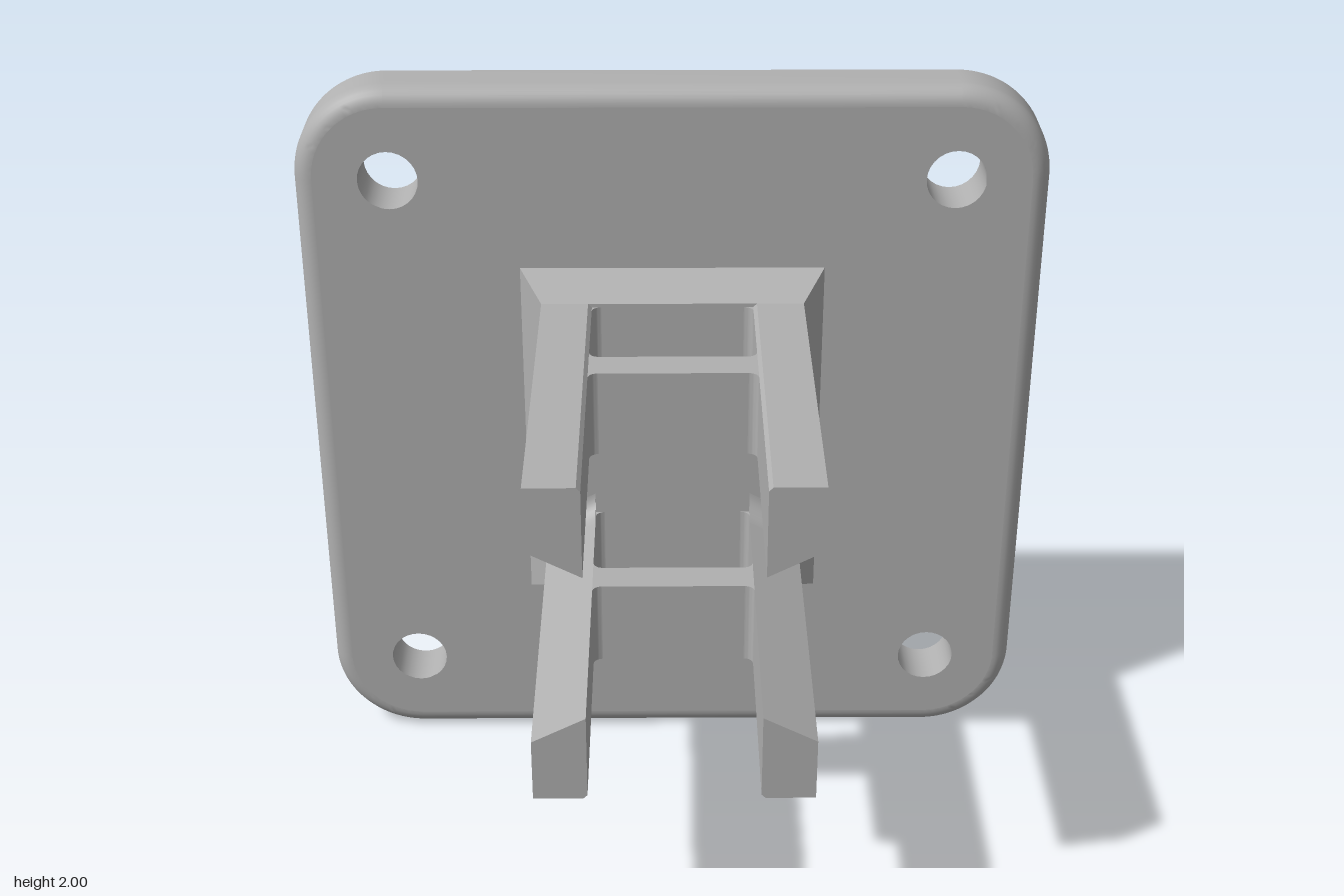
import * as THREE from 'three';
import { toCreasedNormals } from 'three/addons/utils/BufferGeometryUtils.js';

const BACK = -0.625, FACE = -0.475, BASE = -0.375, TIP = 0.625;
const INNER = 0.215, OUTER = 0.35, TOP = 0.44, LOW_IN = 0.2, LOW_OUT = 0.27;

// Mirror a non-indexed geometry in x and y, keeping faces outward
function mirrored(source, sx, sy) {
  const g = source.clone();
  const p = g.attributes.position;
  for (let i = 0; i < p.count; i++) p.setXY(i, p.getX(i) * sx, p.getY(i) * sy);
  if (sx * sy < 0) {
    const a = new THREE.Vector3(), b = new THREE.Vector3();
    for (let i = 0; i < p.count; i += 3) {
      a.fromBufferAttribute(p, i + 1);
      b.fromBufferAttribute(p, i + 2);
      p.setXYZ(i + 1, b.x, b.y, b.z);
      p.setXYZ(i + 2, a.x, a.y, a.z);
    }
  }
  return toCreasedNormals(g, 0.5);
}

// Concave corner filler; sa and sb choose the quadrant
function filletShape(r, sa, sb) {
  const pts = [new THREE.Vector2(0, 0)];
  for (let i = 0; i <= 8; i++) {
    const t = (i / 8) * Math.PI / 2;
    pts.push(new THREE.Vector2(sa * r * (1 - Math.sin(t)), sb * r * (1 - Math.cos(t))));
  }
  return new THREE.Shape(pts);
}

// Rounded plate with bolt holes, a rear pocket and a rounded front rim
function plateGeometry() {
  const R = 0.25, c = 1 - R, rim = 0.05, arcSteps = 7;
  const shape = new THREE.Shape();
  [[1, 1], [-1, 1], [-1, -1], [1, -1]].forEach(([x, y], i) => {
    shape.absarc(x * c, y * c, R, i * Math.PI / 2, (i + 1) * Math.PI / 2, false);
    const hole = new THREE.Path();
    hole.absarc(x * 0.75, y * 0.75, 0.08, 0, Math.PI * 2, true);
    shape.holes.push(hole);
  });
  shape.holes.push(new THREE.Path([[-0.41, -0.5], [-0.41, 0.5], [0.41, 0.5], [0.41, -0.5]]
    .map(([x, y]) => new THREE.Vector2(x, y))));
  const steps = arcSteps + 1;
  let g = new THREE.ExtrudeGeometry(shape, { depth: 1, steps, bevelEnabled: false, curveSegments: 14 });
  const capCount = g.groups[0].count;
  const p = g.attributes.position;
  for (let i = 0; i < p.count; i++) {
    const layer = Math.round(p.getZ(i) * steps);
    const t = Math.max(0, layer - 1) / arcSteps * Math.PI / 2;
    const z = layer === 0 ? BACK : FACE - rim + rim * Math.sin(t);
    let x = p.getX(i), y = p.getY(i);
    // inset only the outer outline, along its normal
    const dx = Math.max(0, Math.abs(x) - c), dy = Math.max(0, Math.abs(y) - c);
    const d = Math.hypot(dx, dy);
    if (d > R - 0.005) {
      const k = rim * (1 - Math.cos(t)) / d;
      x -= Math.sign(x) * dx * k;
      y -= Math.sign(y) * dy * k;
    }
    p.setXYZ(i, x, y, z);
  }
  g = toCreasedNormals(g, 0.5);
  // caps stay perfectly flat
  for (let i = 0; i < capCount; i++) g.attributes.normal.setXYZ(i, 0, 0, p.getZ(i) < -0.6 ? -1 : 1);
  return g;
}

// Flared block: a four-sided frustum from the plate to the prongs
function flareGeometry() {
  const g = new THREE.BoxGeometry(2, 2, 1);
  const p = g.attributes.position;
  for (let i = 0; i < p.count; i++) {
    const front = p.getZ(i) > 0;
    p.setXYZ(i, p.getX(i) * (front ? OUTER : 0.41), p.getY(i) * (front ? TOP : 0.5), front ? BASE : FACE);
  }
  return toCreasedNormals(g, 0.2);
}

// Prong with a sloping inner side
function prongGeometry() {
  const outline = [[INNER, LOW_IN], [OUTER, LOW_OUT], [OUTER, TOP], [INNER + 0.01, TOP], [INNER, TOP - 0.01]];
  const shape = new THREE.Shape(outline.map(([x, y]) => new THREE.Vector2(x, y)));
  return new THREE.ExtrudeGeometry(shape, { depth: TIP - BASE, bevelEnabled: false }).translate(0, 0, BASE);
}

// Fillet under the prong root, sheared to follow the slope
function rootFilletGeometry() {
  const w = OUTER - INNER;
  const g = new THREE.ExtrudeGeometry(filletShape(0.06, 1, -1), { depth: w, bevelEnabled: false });
  g.rotateY(-Math.PI / 2).translate(OUTER, 0, BASE);
  const p = g.attributes.position;
  for (let i = 0; i < p.count; i++) {
    p.setY(i, p.getY(i) + LOW_IN + (LOW_OUT - LOW_IN) * (p.getX(i) - INNER) / w);
  }
  return g;
}

// Small upright fillet on a prong's inner wall
function cornerFilletGeometry(z, sb) {
  return new THREE.ExtrudeGeometry(filletShape(0.025, -1, sb), { depth: TOP - 0.01 - LOW_IN, bevelEnabled: false })
    .rotateX(-Math.PI / 2).translate(INNER, LOW_IN, z);
}

export function createModel() {
  const model = new THREE.Group();
  model.name = 'wallBracket';
  const grey = new THREE.MeshStandardMaterial({ color: 0xb0b0b0 });
  grey.name = 'grey';
  const add = (parent, name, geometry) => {
    const mesh = new THREE.Mesh(geometry, grey);
    mesh.name = name;
    parent.add(mesh);
    return mesh;
  };

  add(model, 'plate', plateGeometry());
  add(model, 'flaredBase', flareGeometry());

  const bridgeBack = -0.075, bridgeFront = 0.02;
  const prong = prongGeometry(), root = rootFilletGeometry();
  const corners = [[BASE, -1], [bridgeBack, 1], [bridgeFront, -1]].map(([z, s]) => cornerFilletGeometry(z, s));

  for (const sy of [1, -1]) {
    const level = sy > 0 ? 'upper' : 'lower';
    for (const sx of [1, -1]) {
      const group = new THREE.Group();
      group.name = level + (sx > 0 ? 'Left' : 'Right') + 'Prong';
      add(group, 'prong', mirrored(prong, sx, sy));
      add(group, 'rootFillet', mirrored(root, sx, sy));
      corners.forEach((g) => add(group, 'cornerFillet', mirrored(g, sx, sy)));
      model.add(group);
    }
    // cross wall joining each pair of prongs
    const h = TOP - 0.01 - LOW_IN;
    const bridge = add(model, level + 'Bridge', new THREE.BoxGeometry(INNER * 2, h, bridgeFront - bridgeBack));
    bridge.position.set(0, sy * (LOW_IN + h / 2), (bridgeFront + bridgeBack) / 2);
  }

  // stand on the ground
  model.children.forEach((part) => { part.position.y += 1; });
  return model;
}
